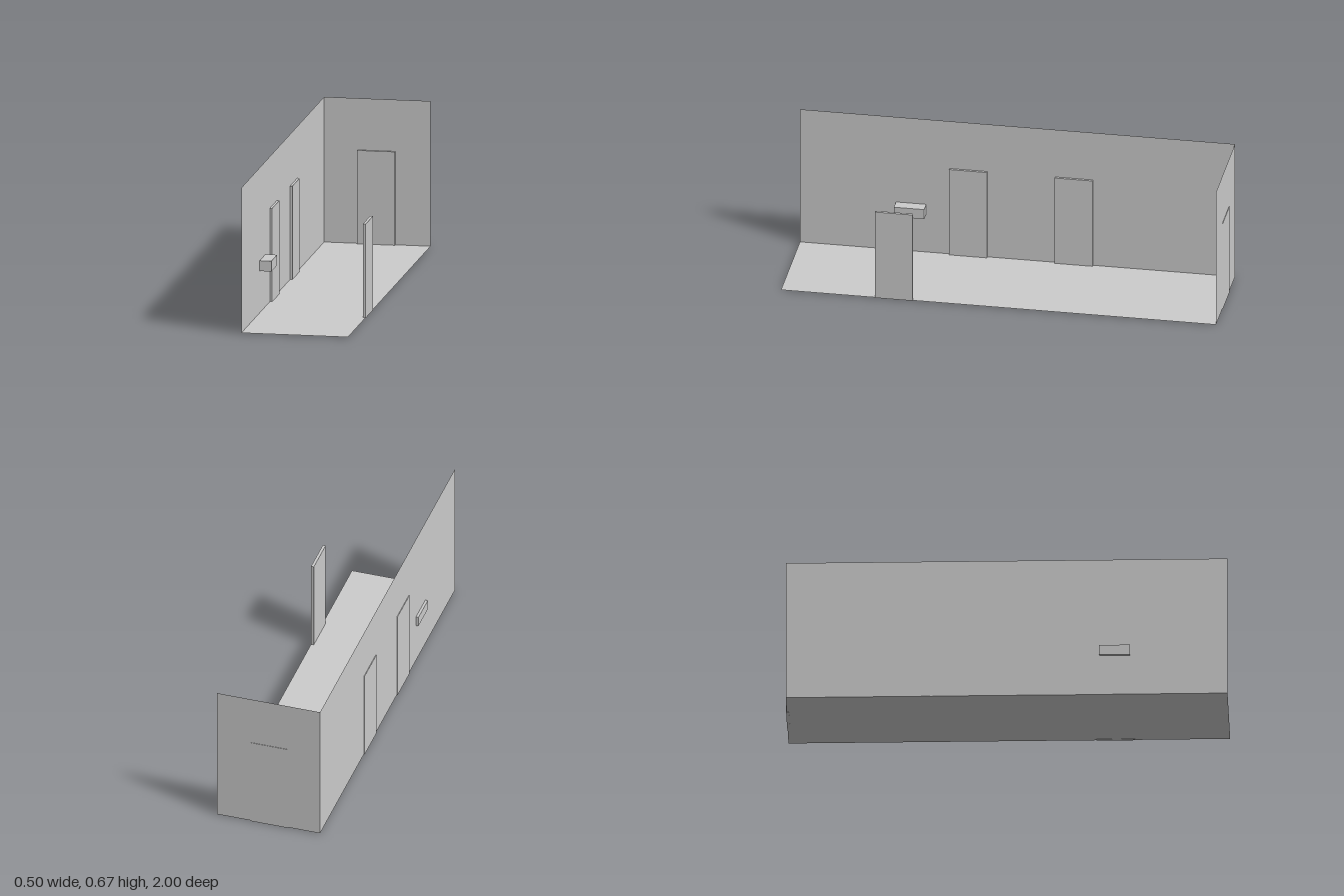
import * as THREE from 'three';

export function createModel() {
  const group = new THREE.Group();
  const solid = new THREE.MeshStandardMaterial({ color: 0xcccccc, flatShading: true });
  const sheet = new THREE.MeshStandardMaterial({ color: 0xcccccc, side: THREE.DoubleSide });

  // Room extents
  const left = -0.24, right = 0.25, back = -0.998, front = 1, floorY = 0.002, top = 0.673;
  const width = right - left, depth = front - back, height = top - floorY;
  const midX = (left + right) / 2, midY = (floorY + top) / 2, midZ = (front + back) / 2;

  function addPlane(name, w, h, position, rotation) {
    const mesh = new THREE.Mesh(new THREE.PlaneGeometry(w, h), sheet);
    mesh.name = name;
    mesh.position.set(...position);
    mesh.rotation.set(...rotation);
    group.add(mesh);
  }

  function addBox(name, [x0, x1], [y0, y1], [z0, z1]) {
    const mesh = new THREE.Mesh(new THREE.BoxGeometry(x1 - x0, y1 - y0, z1 - z0), solid);
    mesh.name = name;
    mesh.position.set((x0 + x1) / 2, (y0 + y1) / 2, (z0 + z1) / 2);
    group.add(mesh);
  }

  // Thin open shell: floor, side wall and end wall
  addPlane('floor', width, depth, [midX, floorY, midZ], [-Math.PI / 2, 0, 0]);
  addPlane('sideWall', depth, height, [left, midY, midZ], [0, Math.PI / 2, 0]);
  addPlane('endWall', width, height, [midX, midY, back], [0, 0, 0]);

  // Doors, slightly proud of the walls on both faces
  const doorY = [0, 0.434];
  addBox('sideDoorFront', [-0.243, -0.229], doorY, [0.139, 0.313]);
  addBox('sideDoorBack', [-0.243, -0.229], doorY, [-0.346, -0.172]);
  addBox('freestandingDoor', [0.237, 0.25], doorY, [0.395, 0.569]);
  addBox('endDoor', [-0.086, 0.088], doorY, [-1, -0.987]);

  // Small box passing through the side wall
  addBox('wallBox', [-0.252, -0.186], [0.195, 0.243], [0.42, 0.559]);

  return group;
}
